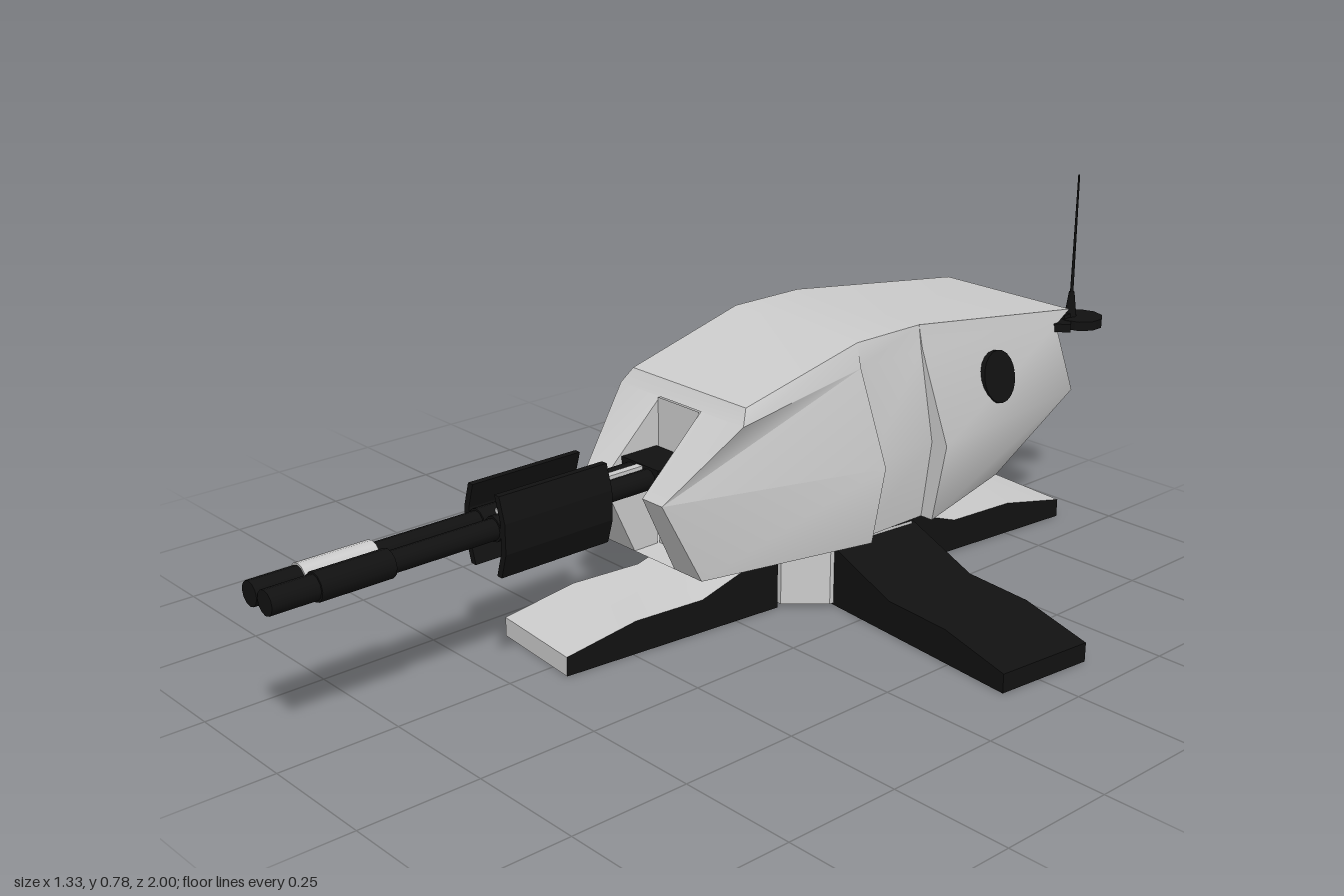
import * as THREE from 'three';
import { toCreasedNormals } from 'three/addons/utils/BufferGeometryUtils.js';

const light = new THREE.MeshStandardMaterial({ color: 0xcccccc, side: THREE.DoubleSide });
const dark = new THREE.MeshStandardMaterial({ color: 0x111111, side: THREE.DoubleSide });

function add(parent, name, geometry, material, x = 0, y = 0, z = 0) {
  const mesh = new THREE.Mesh(geometry, material);
  mesh.name = name;
  mesh.position.set(x, y, z);
  parent.add(mesh);
  return mesh;
}

function polygon(points) {
  return new THREE.Shape(points.map(([x, y]) => new THREE.Vector2(x, y)));
}

// Rod along z between two depths
function rod(radius, z0, z1, sides = 12) {
  return new THREE.CylinderGeometry(radius, radius, z1 - z0, sides)
    .rotateX(Math.PI / 2).translate(0, 0, (z0 + z1) / 2);
}

// Hull stations from front to back; rows are bottom, middle, shoulder, roof as [halfWidth, y, z]
const slot = 0.06;
const wide = z => [[0.23, 0.14, z], [0.262, 0.31, z], [0.187, 0.5, z], [0.175, 0.55, z]];
const narrow = z => [[0.2, 0.14, z], [0.222, 0.31, z], [0.183, 0.5, z], [0.175, 0.55, z]];
const stations = [
  [[0.14, 0.14, 0.13], [0.117, 0.31, 0.21], [0.18, 0.45, 0.06], [0.165, 0.48, 0.04]],
  wide(-0.25), narrow(-0.25), narrow(-0.43), wide(-0.43),
  [[0.15, 0.14, -0.73], [0.187, 0.3, -0.93], [0.18, 0.46, -0.87], [0.175, 0.485, -0.92]],
];

function hullGeometry() {
  const out = [];
  const quad = (a, b, c, d) => [a, b, c, a, c, d].forEach(p => out.push(...p));
  const at = ([w, y, z], x = w) => [x, y, z];
  const flip = ([x, y, z]) => [-x, y, z];
  const rings = stations.map(s => [...s.map(p => at(p)), ...s.map(p => flip(at(p))).reverse()]);
  for (let i = 0; i < rings.length - 1; i++) {
    for (let j = 0; j < 8; j++) {
      const k = (j + 1) % 8;
      quad(rings[i][j], rings[i + 1][j], rings[i + 1][k], rings[i][k]);
    }
  }
  // Nose, split around the gun slot, and the back end
  const front = stations[0], back = stations[stations.length - 1];
  for (let k = 0; k < 3; k++) {
    const a = at(front[k]), b = at(front[k + 1]);
    if (k === 2) quad(flip(a), a, b, flip(b));
    else {
      const c = at(front[k], slot), d = at(front[k + 1], slot);
      quad(c, a, b, d);
      quad(flip(a), flip(c), flip(d), flip(b));
    }
    const p = at(back[k]), q = at(back[k + 1]);
    quad(p, flip(p), flip(q), q);
  }
  const g = new THREE.BufferGeometry();
  g.setAttribute('position', new THREE.Float32BufferAttribute(out, 3));
  return toCreasedNormals(g, 0.7);
}

function buildHead() {
  const head = new THREE.Group();
  head.name = 'head';
  head.position.x = -0.012;
  add(head, 'hull', hullGeometry(), light);
  // Recess behind the guns
  const side = polygon([[0.07, 0.14], [0.13, 0.14], [0.21, 0.31], [0.06, 0.45]]);
  for (const s of [-1, 1]) {
    add(head, 'slotWall', new THREE.ShapeGeometry(side).rotateY(-Math.PI / 2), light, s * slot);
  }
  add(head, 'slotBack', new THREE.PlaneGeometry(2 * slot, 0.31), light, 0, 0.295, 0.065);
  // Round hatch on the left flank
  const hatch = add(head, 'sideHatch', new THREE.CylinderGeometry(0.056, 0.056, 0.024, 20), dark, 0.207, 0.4, -0.64);
  hatch.quaternion.setFromUnitVectors(new THREE.Vector3(0, 1, 0), new THREE.Vector3(0.96, 0.25, -0.12).normalize());
  return head;
}

function buildGuns() {
  const guns = new THREE.Group();
  guns.name = 'twinGuns';
  guns.position.set(-0.018, 0.325, 0);
  for (const s of [-1, 1]) {
    const x = s * 0.025;
    add(guns, 'barrel', rod(0.021, 0.07, 0.95), dark, x);
    add(guns, 'barrelSleeve', rod(0.028, 0.755, 0.905), s < 0 ? light : dark, x);
    add(guns, 'muzzle', rod(0.024, 0.905, 1), dark, x);
    add(guns, 'breech', rod(0.025, 0.28, 0.53), dark, x);
    // Bent shield beside each barrel
    const shield = polygon([
      [0.033, 0.07], [0.048, 0.02], [0.048, -0.04], [0.033, -0.09],
      [0.047, -0.09], [0.062, -0.04], [0.062, 0.02], [0.047, 0.07],
    ].map(([px, py]) => [s * px, py]));
    add(guns, 'gunShield', new THREE.ExtrudeGeometry(shield, { depth: 0.25, bevelEnabled: false }), dark, 0, 0, 0.28);
  }
  add(guns, 'centreBar', new THREE.BoxGeometry(0.016, 0.025, 0.4), light, 0, 0.01, 0.3);
  add(guns, 'gunMount', new THREE.BoxGeometry(0.11, 0.05, 0.09), dark, 0, 0, 0.115);
  return guns;
}

function buildAntenna() {
  const antenna = new THREE.Group();
  antenna.name = 'antenna';
  antenna.position.set(0.155, 0.455, -0.935);
  add(antenna, 'mountDisc', new THREE.CylinderGeometry(0.05, 0.05, 0.02, 10), dark, 0.015, 0, -0.015);
  const arm = add(antenna, 'mountArm', new THREE.BoxGeometry(0.08, 0.018, 0.1), dark, -0.02, 0, 0.035);
  arm.rotation.y = 0.65;
  add(antenna, 'socket', new THREE.CylinderGeometry(0.006, 0.014, 0.06, 8), dark, 0, 0.035);
  add(antenna, 'whip', new THREE.CylinderGeometry(0.002, 0.004, 0.32, 6), dark, 0, 0.165);
  add(antenna, 'rearBar', new THREE.BoxGeometry(0.35, 0.016, 0.03), dark, -0.167, 0.01, 0.015);
  return antenna;
}

// Open-bottomed leg pointing along +x
function buildLeg(name, topMaterial) {
  const leg = new THREE.Group();
  leg.name = name;
  const profile = [[0.15, 0.135], [0.34, 0.07], [0.5, 0.07], [0.66, 0.04], [0.66, 0]];
  const top = new THREE.PlaneGeometry(1, 0.22, 4, 1).rotateX(-Math.PI / 2);
  const pos = top.attributes.position;
  for (let i = 0; i < pos.count; i++) {
    const [x, y] = profile[i % 5];
    pos.setXY(i, x, y);
  }
  add(leg, 'legTop', toCreasedNormals(top, 0.6), topMaterial);
  const wall = new THREE.ShapeGeometry(polygon([...profile, [0.15, 0]]));
  for (const s of [-1, 1]) add(leg, 'legWall', wall, dark, 0, 0, s * 0.11);
  return leg;
}

function buildBase() {
  const base = new THREE.Group();
  base.name = 'base';
  const turn = -THREE.MathUtils.degToRad(5.2);
  const legs = [
    ['leftLeg', 0, -0.325, dark], ['backLeg', 1, -0.265, light],
    ['rightLeg', 2, -0.325, light], ['frontLeg', 3, -0.265, light],
  ];
  for (const [name, quarter, z, material] of legs) {
    const leg = buildLeg(name, material);
    leg.position.z = z;
    leg.rotation.y = turn + quarter * Math.PI / 2 + (quarter % 2 ? Math.PI : 0);
    if (name === 'frontLeg') leg.name = 'backLeg';
    if (name === 'backLeg') leg.name = 'frontLeg';
    base.add(leg);
  }
  // Eight-sided hub with cut corners
  const hub = polygon([
    [0.17, -0.08], [0.17, 0.14], [0.11, 0.18], [-0.11, 0.18],
    [-0.17, 0.14], [-0.17, -0.08], [-0.11, -0.16], [0.11, -0.16],
  ]);
  const geometry = new THREE.ExtrudeGeometry(hub, { depth: 0.129, bevelEnabled: false }).rotateX(-Math.PI / 2);
  add(base, 'hub', geometry, [dark, light], 0, 0.004, -0.285).rotation.y = turn;
  add(base, 'turntable', new THREE.CylinderGeometry(0.12, 0.12, 0.04, 24), light, 0, 0.135, -0.295);
  return base;
}

export function createModel() {
  const model = new THREE.Group();
  model.name = 'gunTurret';
  model.add(buildHead(), buildGuns(), buildAntenna(), buildBase());
  return model;
}
